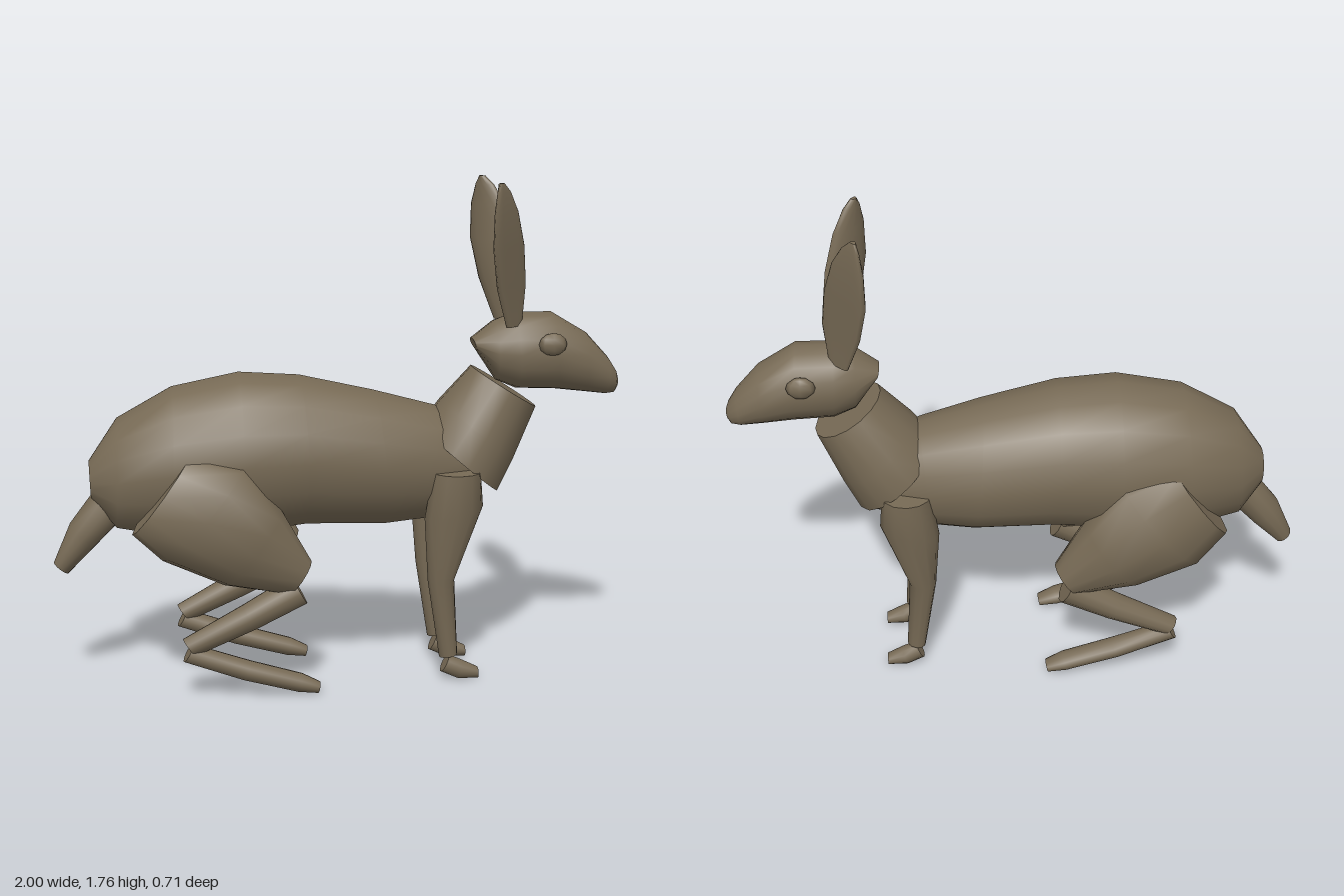
import * as THREE from 'three';

const fur = new THREE.MeshStandardMaterial({ color: 0x776a55 });
fur.name = 'brown fur';

// Smooth skin through elliptical rings { c: centre, u, v: half axes, dish }, with flat end caps.
function skin(name, rings, sides = 12) {
  const pos = [], idx = [];
  const ring = ({ c, u, v, dish = 0 }) => {
    const start = pos.length / 3;
    for (let j = 0; j < sides; j++) {
      const t = (j / sides) * Math.PI * 2;
      const p = c.clone().addScaledVector(u, Math.cos(t))
        .addScaledVector(v, Math.sin(t) + dish * Math.cos(t) ** 2);
      pos.push(p.x, p.y, p.z);
    }
    return start;
  };
  // Turn the faces outward whichever way the path runs
  const first = rings[0], last = rings[rings.length - 1];
  const outward = first.u.clone().cross(first.v).dot(last.c.clone().sub(first.c)) > 0;
  const face = (a, b, c) => (outward ? idx.push(a, b, c) : idx.push(a, c, b));

  const starts = rings.map(ring);
  for (let i = 0; i < rings.length - 1; i++) {
    for (let j = 0; j < sides; j++) {
      const k = (j + 1) % sides, a = starts[i], b = starts[i + 1];
      face(a + j, a + k, b + j);
      face(a + k, b + k, b + j);
    }
  }
  const s = ring(first), e = ring(last);
  for (let j = 1; j < sides - 1; j++) {
    face(s, s + j + 1, s + j);
    face(e, e + j, e + j + 1);
  }
  const geo = new THREE.BufferGeometry();
  geo.setAttribute('position', new THREE.Float32BufferAttribute(pos, 3));
  geo.setIndex(idx);
  geo.computeVertexNormals();
  const mesh = new THREE.Mesh(geo, fur);
  mesh.name = name;
  return mesh;
}

// Rows are [topX, topY, bottomX, bottomY, half width, z centre]
function limb(name, rows, side = 1, sides = 12) {
  return skin(name, rows.map(([tx, ty, bx, by, w, z = 0]) => ({
    c: new THREE.Vector3((tx + bx) / 2, (ty + by) / 2, z * side),
    u: new THREE.Vector3((tx - bx) / 2, (ty - by) / 2, 0),
    v: new THREE.Vector3(0, 0, w),
  })), sides);
}

// Thin dished ear turned diagonally outward; rows are [y, x, z, half width, thickness]
function ear(side) {
  const rows = [
    [1.26, 0.597, 0.075, 0.045, 0.016],
    [1.4, 0.58, 0.09, 0.093, 0.02],
    [1.54, 0.56, 0.127, 0.1, 0.02],
    [1.66, 0.547, 0.146, 0.075, 0.016],
    [1.73, 0.537, 0.155, 0.04, 0.012],
    [1.76, 0.53, 0.158, 0.012, 0.008],
  ];
  return skin('ear', rows.map(([y, x, z, w, t]) => ({
    c: new THREE.Vector3(x, y, z * side),
    u: new THREE.Vector3(0.68, 0, -0.73 * side).multiplyScalar(w),
    v: new THREE.Vector3(0.73, 0, 0.68 * side).multiplyScalar(t),
    dish: 0.6,
  })));
}

export function createModel() {
  const model = new THREE.Group();
  model.name = 'hare';

  model.add(limb('body', [
    [-0.87, 0.81, -0.865, 0.68, 0.07],
    [-0.77, 0.96, -0.78, 0.57, 0.17],
    [-0.58, 1.065, -0.6, 0.535, 0.24],
    [-0.35, 1.11, -0.35, 0.54, 0.26],
    [-0.14, 1.095, -0.12, 0.565, 0.25],
    [0.12, 1.035, 0.16, 0.555, 0.215],
    [0.34, 0.975, 0.3, 0.567, 0.17],
    [0.47, 0.9, 0.5, 0.635, 0.12],
  ], 1, 16));
  model.add(limb('tail', [
    [-0.85, 0.71, -0.76, 0.6, 0.06],
    [-0.94, 0.59, -0.85, 0.51, 0.075],
    [-1.0, 0.45, -0.95, 0.41, 0.035],
  ]));
  model.add(limb('neck', [
    [0.29, 0.9, 0.565, 0.665, 0.185],
    [0.36, 0.99, 0.62, 0.78, 0.18],
    [0.47, 1.11, 0.7, 0.965, 0.135],
  ], 1, 16));
  model.add(limb('head', [
    [0.47, 1.21, 0.48, 1.175, 0.05],
    [0.55, 1.272, 0.555, 1.06, 0.1],
    [0.62, 1.298, 0.63, 1.028, 0.118],
    [0.75, 1.298, 0.77, 1.022, 0.12],
    [0.88, 1.22, 0.87, 1.01, 0.098],
    [0.96, 1.132, 0.95, 1.0, 0.066],
    [0.99, 1.085, 0.982, 1.003, 0.04],
    [1.0, 1.055, 0.995, 1.02, 0.015],
  ], 1, 16));

  for (const side of [1, -1]) {
    const half = new THREE.Group();
    half.name = side > 0 ? 'leftSide' : 'rightSide';
    half.add(ear(side));

    const eye = new THREE.Mesh(new THREE.SphereGeometry(0.05, 8, 6), fur);
    eye.name = 'eye';
    eye.scale.set(1, 0.8, 0.5);
    eye.position.set(0.733, 1.2, 0.117 * side);
    half.add(eye);

    half.add(limb('foreleg', [
      [0.48, 0.765, 0.31, 0.765, 0.075, 0.145],
      [0.49, 0.64, 0.284, 0.6, 0.078, 0.142],
      [0.395, 0.37, 0.3, 0.37, 0.042, 0.125],
      [0.41, 0.095, 0.345, 0.085, 0.032, 0.12],
    ], side));
    half.add(limb('forepaw', [
      [0.38, 0.09, 0.35, 0.03, 0.03, 0.12],
      [0.43, 0.068, 0.41, 0.002, 0.034, 0.12],
      [0.485, 0.04, 0.485, 0.0, 0.024, 0.12],
    ], side));
    half.add(limb('thigh', [
      [-0.52, 0.88, -0.73, 0.59, 0.09, 0.18],
      [-0.34, 0.84, -0.63, 0.5, 0.155, 0.2],
      [-0.22, 0.66, -0.42, 0.405, 0.115, 0.2],
      [-0.12, 0.48, -0.2, 0.365, 0.06, 0.2],
    ], side));
    half.add(limb('shank', [
      [-0.19, 0.43, -0.135, 0.33, 0.055, 0.2],
      [-0.36, 0.33, -0.31, 0.245, 0.05, 0.2],
      [-0.565, 0.215, -0.52, 0.155, 0.038, 0.195],
    ], side));
    half.add(limb('hindFoot', [
      [-0.53, 0.195, -0.565, 0.135, 0.038, 0.195],
      [-0.33, 0.125, -0.36, 0.06, 0.044, 0.195],
      [-0.15, 0.07, -0.17, 0.008, 0.042, 0.195],
      [-0.09, 0.038, -0.1, 0.0, 0.03, 0.195],
    ], side));
    model.add(half);
  }
  return model;
}
